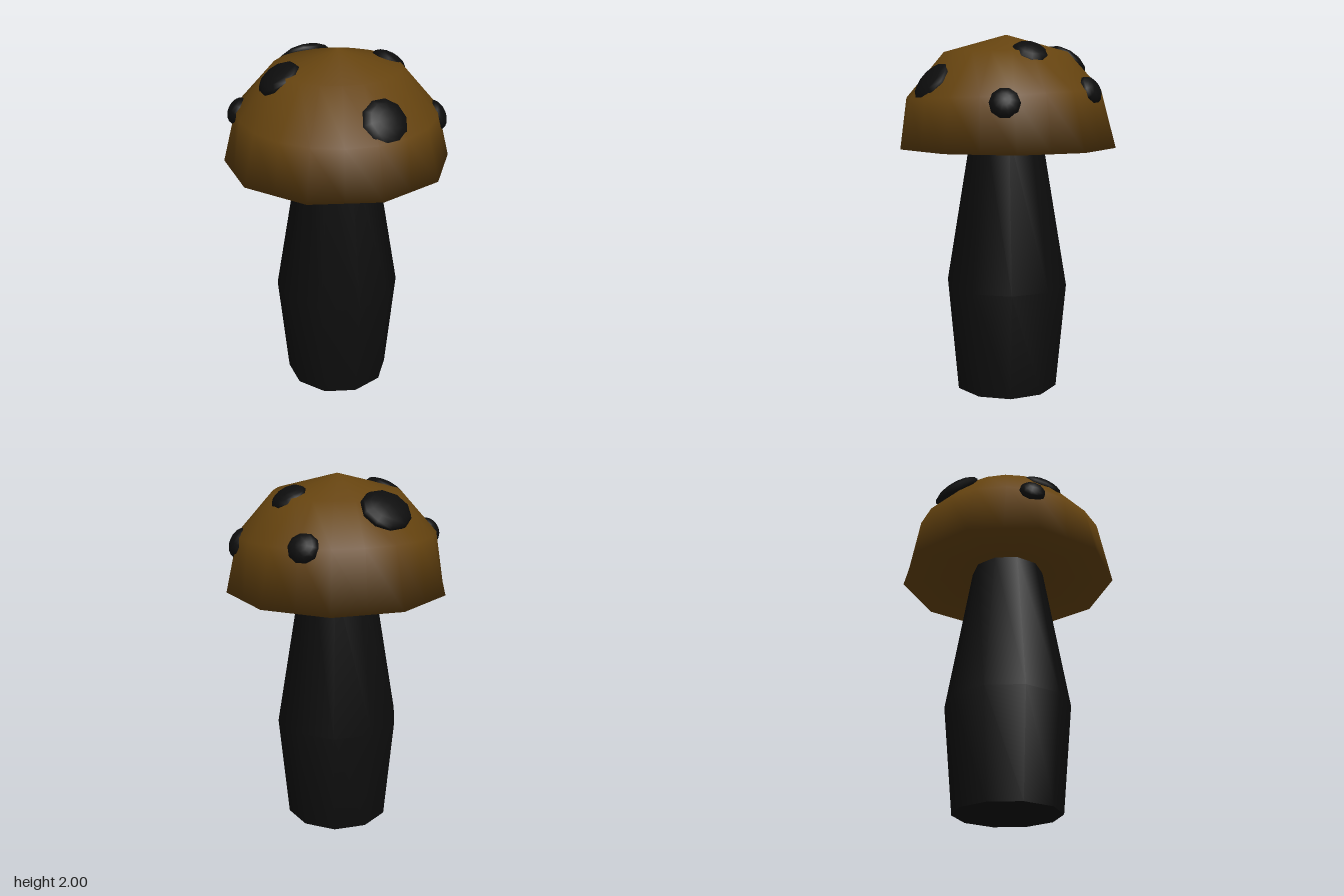
import * as THREE from 'three';

const brown = new THREE.MeshStandardMaterial({ color: 0x65430f });
brown.name = 'capBrown';
const black = new THREE.MeshStandardMaterial({ color: 0x0d0d0d });
black.name = 'charcoalBlack';

const lathe = (points, sides, start = 0) =>
  new THREE.LatheGeometry(points.map(p => new THREE.Vector2(...p)), sides, start);

function addMesh(group, name, geometry, material) {
  const mesh = new THREE.Mesh(geometry, material);
  mesh.name = name;
  group.add(mesh);
  return mesh;
}

// Domed cap with a ten-cornered rim, a slightly tilted shoulder and a hollow underside
function capGeometry() {
  const profile = [[0, 1.46], [0.2, 1.44], [0.617, 1.385], [0.542, 1.68], [0.345, 1.905], [0, 2]];
  const geometry = lathe(profile, 20);
  const pos = geometry.attributes.position;
  for (let k = 0; k < pos.count; k++) {
    const ring = k % profile.length;
    const step = Math.floor(k / profile.length);
    const x = pos.getX(k), y = pos.getY(k), z = pos.getZ(k);
    if (ring === 2 && step % 2 === 0) {
      const flat = Math.cos(Math.PI / 10);
      pos.setXYZ(k, x * flat, y, z * flat);
    } else if (ring === 3) {
      pos.setXYZ(k, x, y - z * 0.045, z + 0.012);
    }
  }
  return geometry;
}

export function createModel() {
  const model = new THREE.Group();
  model.name = 'mushroom';

  // Stem, widest below the middle, with a closed foot
  addMesh(model, 'stem', lathe([[0.295, 0], [0.35, 0.6], [0.205, 1.45]], 10, Math.PI / 2), black);
  const foot = addMesh(model, 'stemFoot', new THREE.CircleGeometry(0.295, 10), black);
  foot.rotation.x = Math.PI / 2;

  addMesh(model, 'cap', capGeometry(), brown);

  // Raised spots: x, y, z, half width, half height along the slope
  const spots = [
    [-0.16, 1.855, -0.355, 0.15, 0.13],
    [0.285, 1.70, -0.42, 0.085, 0.08],
    [0.285, 1.892, -0.1, 0.1, 0.1],
    [0.53, 1.64, 0.055, 0.083, 0.083],
    [0.205, 1.735, 0.41, 0.13, 0.13],
    [-0.305, 1.875, 0.115, 0.125, 0.12],
    [-0.53, 1.665, -0.01, 0.075, 0.075],
  ];
  const spotGeometry = new THREE.SphereGeometry(1, 10, 8);
  spotGeometry.rotateX(Math.PI / 2);
  for (const [x, y, z, w, h] of spots) {
    const spot = addMesh(model, 'capSpot', spotGeometry, black);
    spot.position.set(x, y, z);
    spot.lookAt(2 * x, 2 * y - 1.385, 2 * z);
    spot.scale.set(w, h, 0.05);
  }
  return model;
}
